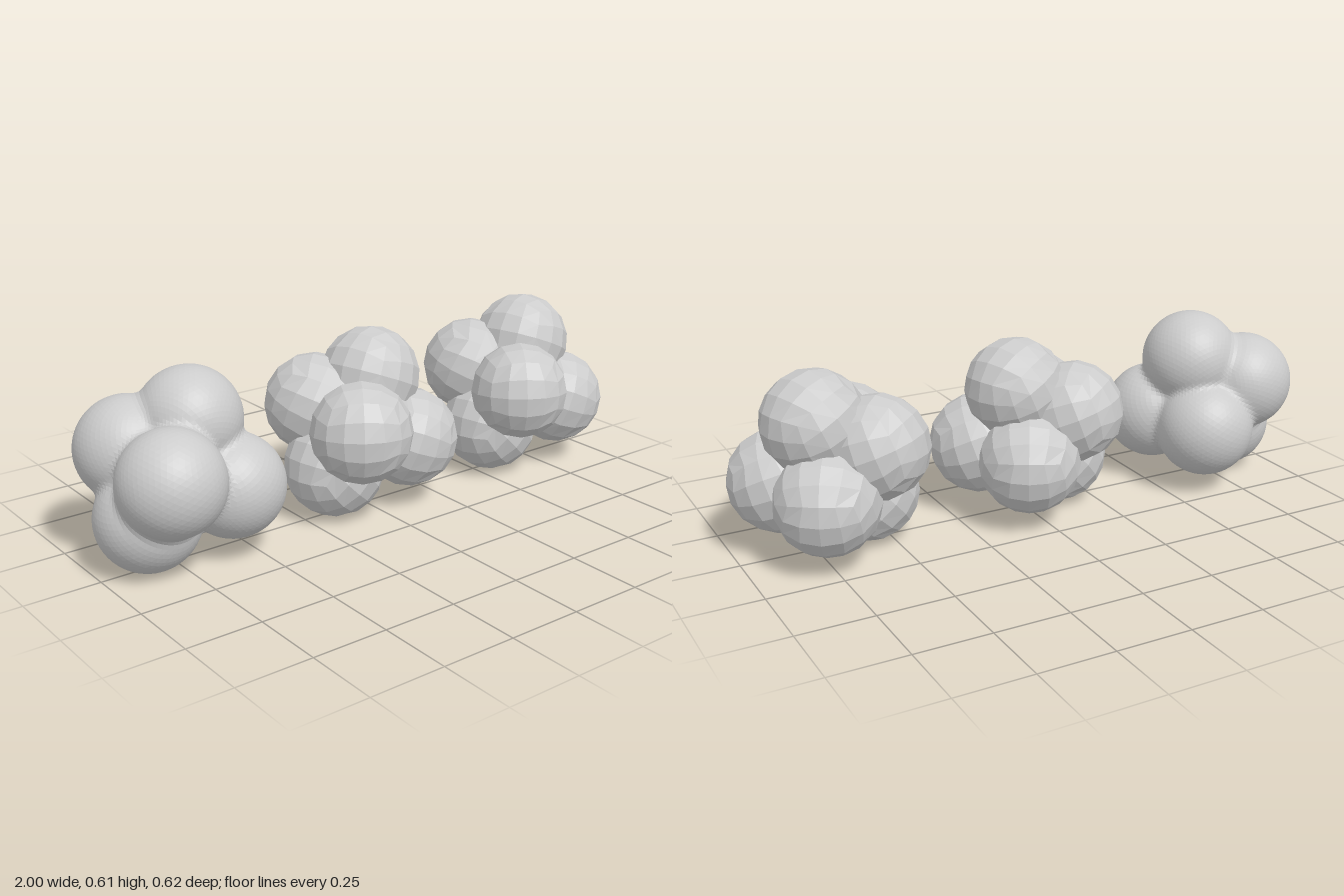
import * as THREE from 'three';

const R = 0.168;
// ball centres of one cluster, relative to its middle on x
const BALLS = {
  frontBall: [-0.12, 0.325, 0.14],
  topBall: [0.045, 0.443, -0.03],
  sideBall: [0.132, 0.235, 0.07],
  bottomBall: [-0.135, 0.172, 0.01],
  backBall: [0.055, 0.222, -0.145],
  rearUpperBall: [-0.125, 0.36, -0.115],
};
const CORE = new THREE.Vector3(-0.02, 0.3, -0.01);

const material = new THREE.MeshStandardMaterial({ color: 0xcccccc, flatShading: true });

// faceted ball made from a subdivided cube; its back half can be drawn out into a capsule
function cubeBall(stretch = 0) {
  const geo = new THREE.BoxGeometry(1, 1, 1, 4, 4, 4);
  const pos = geo.attributes.position;
  const v = new THREE.Vector3();
  for (let i = 0; i < pos.count; i++) {
    v.fromBufferAttribute(pos, i);
    // even out the angles between the rows
    v.set(...v.toArray().map((c) => Math.tan(c * Math.PI / 2))).setLength(R * 1.01);
    if (v.z < -0.001) v.z -= stretch;
    pos.setXYZ(i, v.x, v.y, v.z);
  }
  geo.computeVertexNormals();
  return geo;
}

// cluster of faceted balls, each turned outward from the core
function facetedCluster(name, x, stretched) {
  const group = new THREE.Group();
  group.name = name;
  group.position.x = x;
  for (const [part, centre] of Object.entries(BALLS)) {
    const c = new THREE.Vector3(...centre);
    const mesh = new THREE.Mesh(cubeBall(part === stretched ? 0.2 : 0), material);
    mesh.name = part;
    mesh.position.copy(c);
    mesh.lookAt(c.clone().multiplyScalar(2).sub(CORE));
    group.add(mesh);
  }
  return group;
}

// distance to the balls, softly melted together, with a filled core
function blendDistance(p, centres) {
  let d = p.distanceTo(CORE) - 0.15;
  const k = 0.025;
  for (const c of centres) {
    const e = p.distanceTo(c) - R;
    const h = Math.max(k - Math.abs(d - e), 0) / k;
    d = Math.min(d, e) - h * h * k * 0.25;
  }
  return d;
}

// one finely faceted skin wrapped around the balls from outside
function blendedCluster(name, x) {
  const centres = Object.values(BALLS).map((c) => new THREE.Vector3(...c));
  const geo = new THREE.IcosahedronGeometry(1, 20);
  const pos = geo.attributes.position;
  const dir = new THREE.Vector3();
  const p = new THREE.Vector3();
  for (let i = 0; i < pos.count; i++) {
    dir.fromBufferAttribute(pos, i).normalize();
    let r = 0.6;
    for (let step = 0; step < 60; step++) {
      p.copy(CORE).addScaledVector(dir, r);
      const d = blendDistance(p, centres);
      if (d < 0.0003) break;
      r -= d;
    }
    pos.setXYZ(i, p.x, p.y, p.z);
  }
  geo.computeVertexNormals();
  const mesh = new THREE.Mesh(geo, material);
  mesh.name = name;
  mesh.position.x = x;
  return mesh;
}

export function createModel() {
  const model = new THREE.Group();
  model.name = 'ballClusters';
  model.add(
    blendedCluster('blendedCluster', -0.7),
    facetedCluster('bridgedCluster', 0, 'rearUpperBall'),
    facetedCluster('separateBallCluster', 0.7),
  );
  return model;
}
